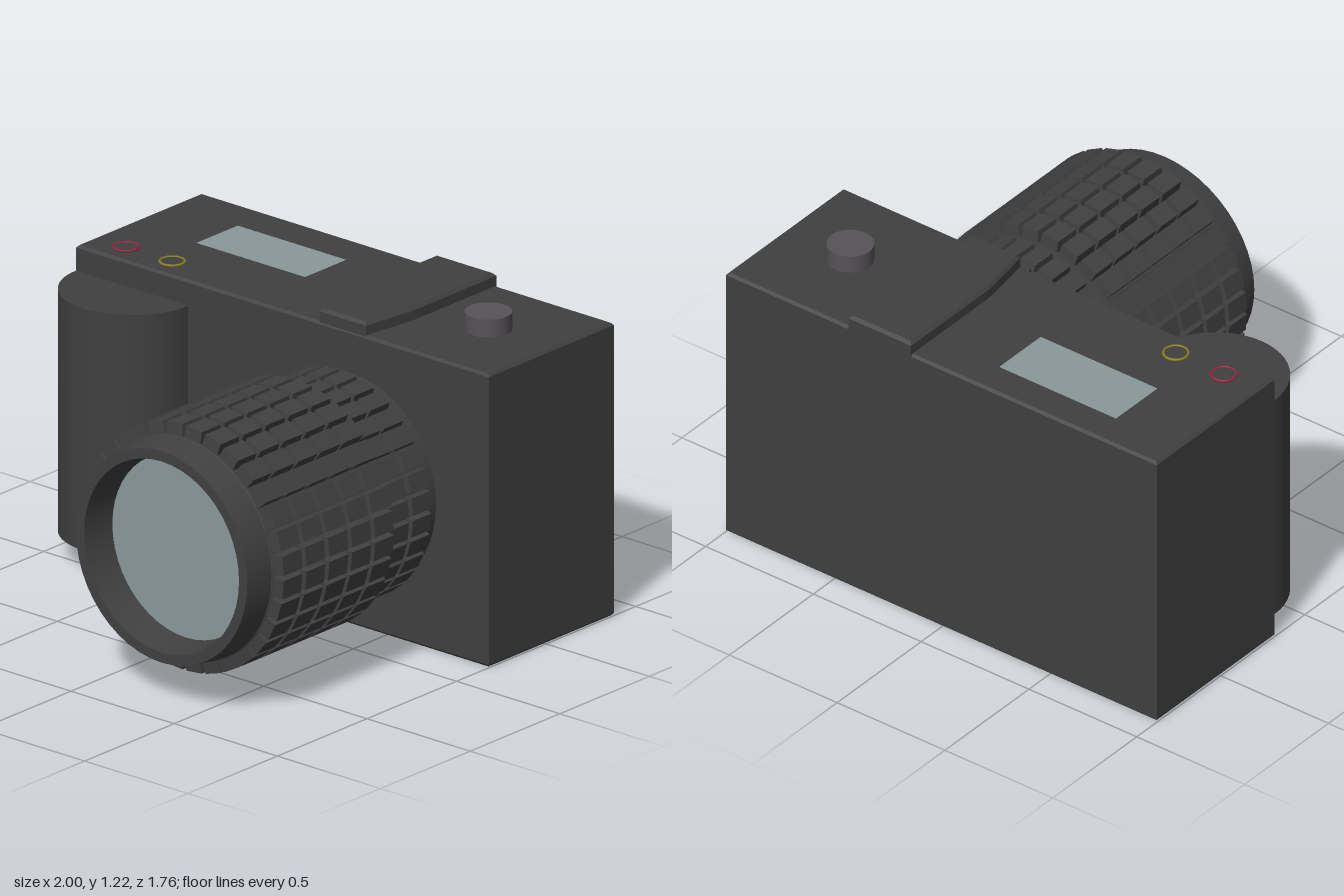
import * as THREE from 'three';
import { mergeGeometries, toCreasedNormals } from 'three/addons/utils/BufferGeometryUtils.js';

const material = (color, side = THREE.FrontSide) => new THREE.MeshStandardMaterial({ color, side });
const black = material(0x404040);
const knobGrey = material(0x565356);
const glassGrey = material(0x8b999b);

function part(name, geometry, mat, x = 0, y = 0, z = 0) {
  const mesh = new THREE.Mesh(geometry, mat);
  mesh.name = name;
  mesh.position.set(x, y, z);
  return mesh;
}

// Rectangle in plan (x, z), drawn with y = -z so that it can be extruded upwards
function planPoints(x0, x1, z0, z1) {
  return [[x0, -z0], [x1, -z0], [x1, -z1], [x0, -z1]].map(([x, y]) => new THREE.Vector2(x, y));
}

// Extrudes a plan shape from y0 to y1 with a small chamfer that stays inside the outline
function plate(shape, y0, y1, bevel) {
  const geometry = new THREE.ExtrudeGeometry(shape, {
    depth: y1 - y0 - 2 * bevel, bevelEnabled: true, bevelSegments: 1,
    bevelSize: bevel, bevelThickness: bevel, bevelOffset: -bevel,
  });
  geometry.rotateX(-Math.PI / 2).translate(0, y0 + bevel, 0);
  return geometry;
}

// One ring of grip blocks around the z axis, each narrowing outwards
function toothRow(inner, outer, z, length, count) {
  const height = outer - inner;
  const block = new THREE.BoxGeometry((2 * Math.PI * outer) / count - 0.016, height, length);
  const p = block.attributes.position;
  for (let i = 0; i < p.count; i++) {
    if (p.getY(i) > 0) p.setXYZ(i, p.getX(i) * 0.95, p.getY(i), p.getZ(i) * 0.88);
  }
  block.computeVertexNormals();
  block.translate(0, inner + height / 2, z);
  const blocks = [];
  for (let i = 0; i < count; i++) {
    blocks.push(block.clone().rotateZ(((i + 0.5) / count) * Math.PI * 2));
  }
  return mergeGeometries(blocks);
}

function createLens() {
  const lens = new THREE.Group();
  lens.name = 'lens';
  lens.position.set(0.335, 0.577, 0);

  // Barrel with a tapered front rim and a recessed mouth
  const profile = [
    [0.41, -0.2], [0.41, 0.125], [0.435, 0.13], [0.435, 0.76],
    [0.43, 0.762], [0.415, 0.88], [0.375, 0.88], [0.355, 0.74],
  ].map(([r, z]) => new THREE.Vector2(r, z));
  const barrel = toCreasedNormals(new THREE.LatheGeometry(profile, 48).rotateX(Math.PI / 2), 0.5);
  lens.add(part('lensBarrel', barrel, material(0x404040, THREE.DoubleSide)));
  lens.add(part('lensGlass', new THREE.CircleGeometry(0.358, 48), glassGrey, 0, 0, 0.745));

  // Two narrow rows by the body, five wider ones in front
  for (let i = 0; i < 2; i++) {
    lens.add(part('innerGripRing', toothRow(0.4, 0.44, -0.067 + i * 0.127, 0.12, 32), black));
  }
  for (let i = 0; i < 5; i++) {
    lens.add(part('outerGripRing', toothRow(0.42, 0.48, 0.19 + i * 0.1275, 0.12, 32), black));
  }
  return lens;
}

export function createModel() {
  const model = new THREE.Group();
  model.name = 'camera';

  // Body, closed by a top plate with a window for the display
  const bodyShape = new THREE.Shape(planPoints(-1, 1, -0.88, -0.18));
  model.add(part('body', plate(bodyShape, 0, 1.12, 0.01), black));
  const topShape = new THREE.Shape(planPoints(-1, 1, -0.88, -0.18));
  topShape.holes.push(new THREE.Path(planPoints(-0.715, -0.145, -0.755, -0.475)));
  model.add(part('topPlate', plate(topShape, 1.1, 1.15, 0.01), black));
  model.add(part('display', new THREE.BoxGeometry(0.57, 0.02, 0.28), glassGrey, -0.43, 1.12, -0.615));

  // Raised hump, narrowing towards the front
  const hump = new THREE.Shape([
    [0.14, 0.88], [0.43, 0.88], [0.43, 0.42], [0.42, 0.34], [0.4, 0.185],
    [0.175, 0.185], [0.15, 0.34], [0.14, 0.42],
  ].map(([x, y]) => new THREE.Vector2(x, y)));
  model.add(part('topHump', plate(hump, 1.12, 1.2, 0.012), black));

  // Hand grip
  model.add(part('handGrip', new THREE.CylinderGeometry(0.272, 0.272, 0.95, 48), black, -0.728, 0.575, -0.18));

  // Shutter knob and two ringed buttons
  model.add(part('shutterKnob', new THREE.CylinderGeometry(0.088, 0.088, 0.09, 32), knobGrey, 0.695, 1.175, -0.53));
  for (const [name, x, color] of [['redButton', -0.843, 0x9a2444], ['yellowButton', -0.62, 0x91801c]]) {
    const ring = new THREE.TorusGeometry(0.046, 0.005, 6, 32).rotateX(Math.PI / 2);
    model.add(part(name + 'Ring', ring, material(color), x, 1.154, -0.28));
    model.add(part(name, new THREE.CylinderGeometry(0.043, 0.043, 0.02, 32), black, x, 1.145, -0.28));
  }

  model.add(createLens());
  return model;
}
